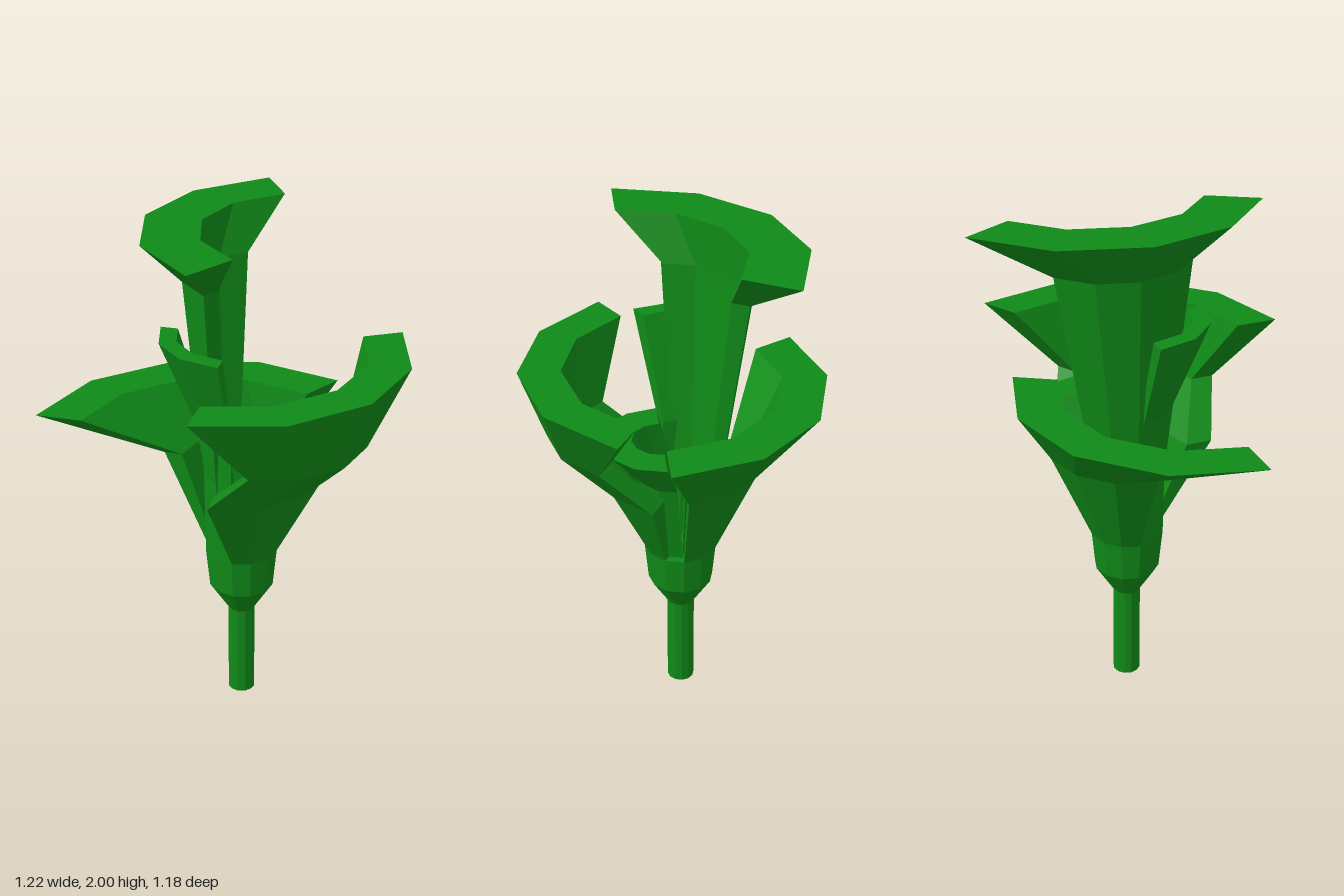
import * as THREE from 'three';

const material = new THREE.MeshStandardMaterial({ color: 0x108a18, flatShading: true });
const STEP = 30; // twelve-sided rings throughout

// Thick arc-shaped shell. Each level is [y, centreX, centreZ, outerRadius, innerRadius];
// angles are in degrees from +x towards +z.
function leafShell(name, from, to, levels) {
  const n = levels.length;
  const section = (deg) => {
    const c = Math.cos(THREE.MathUtils.degToRad(deg));
    const s = Math.sin(THREE.MathUtils.degToRad(deg));
    const at = ([y, cx, cz], r) => [cx + r * c, y, cz + r * s];
    const outer = levels.map((l) => at(l, l[3]));
    const inner = levels.map((l) => at(l, l[4])).reverse();
    return [...outer, ...inner];
  };
  const pos = [];
  const quad = (a, b, c, d) => pos.push(...a, ...b, ...c, ...a, ...c, ...d);

  // walls, rim and underside
  for (let deg = from; deg < to; deg += STEP) {
    const p = section(deg), q = section(deg + STEP);
    for (let i = 0; i < 2 * n; i++) {
      const j = (i + 1) % (2 * n);
      quad(p[i], p[j], q[j], q[i]);
    }
  }
  // end faces
  const first = section(from), last = section(to);
  for (let i = 0; i < n - 1; i++) {
    const k = 2 * n - 1 - i;
    quad(first[k], first[k - 1], first[i + 1], first[i]);
    quad(last[i], last[i + 1], last[k - 1], last[k]);
  }
  const geo = new THREE.BufferGeometry();
  geo.setAttribute('position', new THREE.Float32BufferAttribute(pos, 3));
  geo.computeVertexNormals();
  const mesh = new THREE.Mesh(geo, material);
  mesh.name = name;
  return mesh;
}

function frustum(name, y0, y1, r0, r1) {
  const mesh = new THREE.Mesh(new THREE.CylinderGeometry(r1, r0, y1 - y0, 12), material);
  mesh.position.set(0, (y0 + y1) / 2, 0.015);
  mesh.name = name;
  return mesh;
}

export function createModel() {
  const group = new THREE.Group();
  group.name = 'plant';

  // Stem and the bulb the leaves grow from
  group.add(
    frustum('stem', 0, 0.4, 0.055, 0.055),
    frustum('bulbLower', 0.4, 0.52, 0.055, 0.13),
    frustum('bulbUpper', 0.52, 0.68, 0.13, 0.145),
  );

  // Outer leaves
  group.add(
    leafShell('leftLeaf', -60, 60, [
      [0.68, 0, 0.015, 0.145, 0.115],
      [1.03, -0.045, 0.015, 0.365, 0.26],
      [1.22, 0.15, 0, 0.36, 0.27],
      [1.5, -0.055, -0.02, 0.66, 0.5],
    ]),
    leafShell('rightLeaf', 150, 270, [
      [0.68, 0, 0.015, 0.145, 0.115],
      [1.06, 0, 0.015, 0.31, 0.24],
      [1.28, 0.08, 0.245, 0.69, 0.51],
    ]),
    leafShell('frontLeaf', 60, 150, [
      [0.68, 0, 0.015, 0.145, 0.115],
      [1.18, 0, 0.015, 0.15, 0.115],
      [1.59, 0, 0.02, 0.307, 0.24],
    ]),
  );

  // Inner leaves
  group.add(
    leafShell('tallLeaf', 90, 210, [
      [0.66, 0, 0.015, 0.115, 0.085],
      [1.82, 0.05, -0.06, 0.31, 0.24],
      [2.0, 0.215, -0.165, 0.65, 0.435],
    ]),
    leafShell('innerLeaf', -90, 90, [
      [0.66, 0, 0.015, 0.11, 0.08],
      [1.03, 0.03, -0.02, 0.14, 0.095],
      [1.22, 0.08, -0.075, 0.235, 0.115],
    ]),
    leafShell('coreLeaf', 90, 270, [
      [0.66, 0, 0.015, 0.08, 0.05],
      [1.1, 0, -0.075, 0.115, 0.065],
    ]),
  );
  return group;
}
